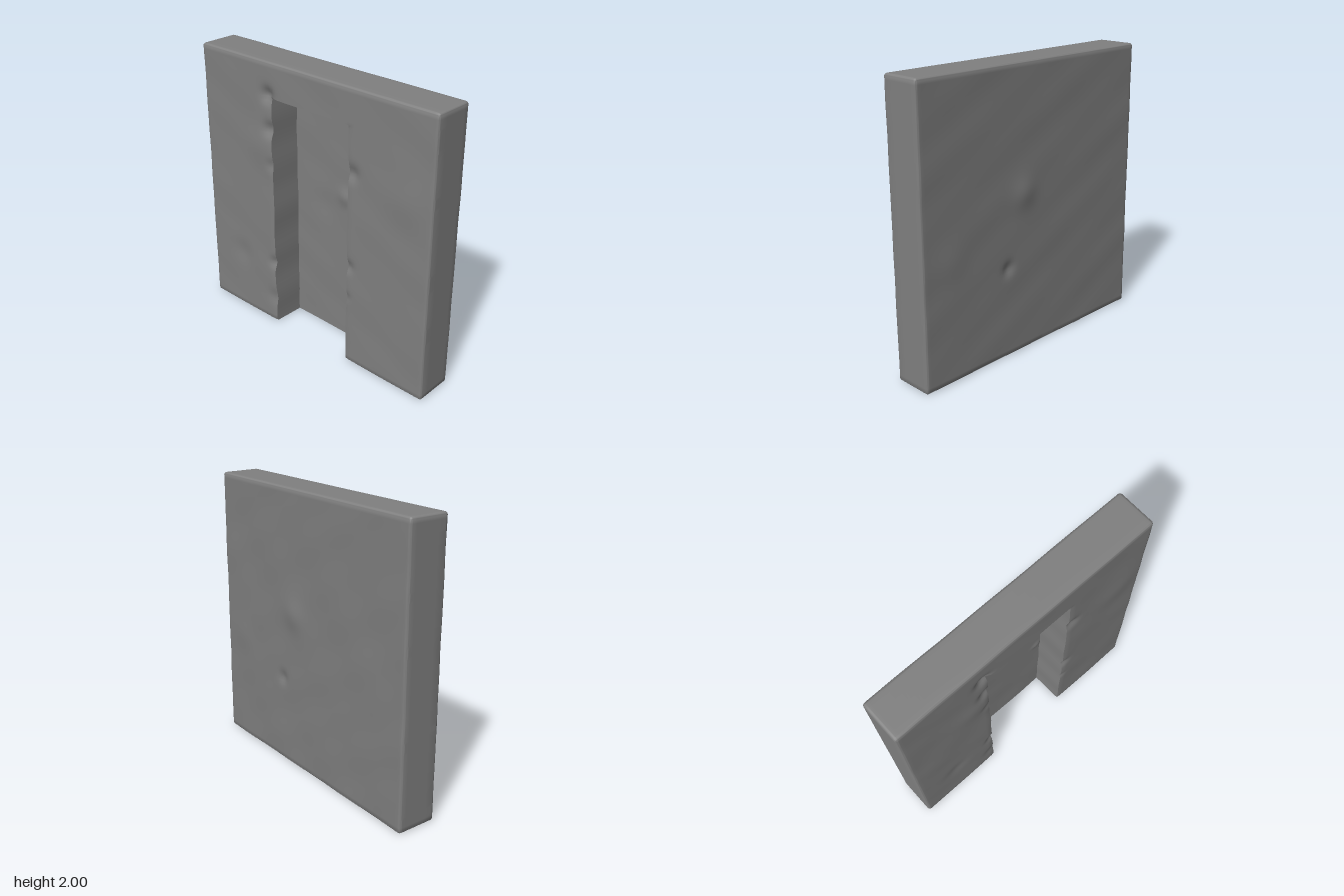
import * as THREE from 'three';
import { toCreasedNormals } from 'three/addons/utils/BufferGeometryUtils.js';

const W = 0.996, H = 2, D = 0.144, R = 0.02;   // half width, height, half depth, edge radius
const DOOR = 0.333, DOOR_TOP = 1.752, FLOOR = -0.094; // recess half width, top and floor depth

// Grid lines through the given stops: each span is [end, steps]
function gridLines(start, spans) {
  const lines = [start];
  for (const [end, steps] of spans) {
    const from = lines[lines.length - 1];
    for (let i = 1; i <= steps; i++) lines.push(from + (end - from) * i / steps);
  }
  return lines;
}

// Soft bumps (+) and dents (-): x, y, radius, height
const frontMarks = [
  [-0.37, 1.77, 0.05, -0.03], [-0.36, 1.53, 0.05, -0.025], [-0.35, 1.27, 0.04, -0.012],
  [-0.35, 0.5, 0.04, -0.02], [-0.35, 0.2, 0.06, -0.012], [0.37, 1.44, 0.05, -0.022],
  [0.35, 0.76, 0.04, -0.02], [0.34, 0.52, 0.03, -0.012], [-0.68, 0.47, 0.09, -0.01],
  [0.83, 1.38, 0.14, 0.008], [-0.43, 1.4, 0.12, 0.006],
];
const floorMarks = [[0.12, 1.1, 0.06, 0.016], [0.3, 0.78, 0.03, 0.012], [-0.05, 1.0, 0.1, -0.006]];
const backMarks = [[0.12, 1.13, 0.1, 0.014], [0.27, 0.64, 0.045, -0.016], [0.75, 0.8, 0.12, 0.006]];

const relief = (marks, x, y) => marks.reduce((sum, [mx, my, r, h]) =>
  sum + h * Math.exp(-((x - mx) ** 2 + (y - my) ** 2) / (r * r)), 0);
const ripple = (x, y, k) =>
  0.0015 * Math.sin(7 * x + 4 * y + k) * Math.sin(9 * y - 3 * x + 2 * k)
  + 0.0012 * Math.sin(15 * y + k) * Math.sin(11 * x + 5 * y);

function wallGeometry() {
  const lip = 0.006;
  const xs = gridLines(-W, [[-W + R, 4], [-DOOR - lip, 28], [-DOOR, 1], [DOOR, 28],
    [DOOR + lip, 1], [W - R, 28], [W, 4]]);
  const ys = gridLines(0, [[R, 4], [DOOR_TOP, 76], [DOOR_TOP + lip, 1], [H - R, 12], [H, 4]]);
  const zs = gridLines(-D, [[-D + R, 4], [FLOOR, 1], [D - R, 4], [D, 4]]);
  const axes = [xs, ys, zs];
  const geometry = new THREE.BoxGeometry(1, 1, 1, ...axes.map(a => a.length - 1));
  const pos = geometry.attributes.position;
  const p = new THREE.Vector3(), inner = new THREE.Vector3();
  const low = new THREE.Vector3(-W + R, R, -D + R), high = new THREE.Vector3(W - R, H - R, D - R);

  for (let i = 0; i < pos.count; i++) {
    p.fromBufferAttribute(pos, i);
    p.fromArray(p.toArray().map((v, k) => axes[k][Math.round((v + 0.5) * (axes[k].length - 1))]));
    const inDoor = Math.abs(p.x) < DOOR + lip / 2 && p.y < DOOR_TOP + lip / 2;
    const atLip = Math.abs(Math.abs(p.x) - DOOR) < lip * 1.5 && p.y < DOOR_TOP + lip / 2;

    // Rounded outer edges
    inner.copy(p).clamp(low, high);
    p.sub(inner).setLength(R).add(inner);
    const x = p.x, y = p.y;

    // Uneven faces and the sunken doorway
    if (inDoor && p.z >= FLOOR - 1e-6) {
      p.z = FLOOR + ripple(x, y, 1) + relief(floorMarks, x, y);
    } else if (p.z > D - R) {
      p.z += ripple(x, y, 0) + relief(frontMarks, x, y);
      if (atLip) p.z -= 0.004;
    } else if (p.z < -D + R) {
      p.z -= ripple(x, y, 2) + relief(backMarks, x, y);
    }

    // Slightly ragged doorway sides
    if (atLip) p.x += 0.004 * Math.sin(13 * y + Math.sign(x)) * Math.sin(5 * y);
    pos.setXYZ(i, p.x, p.y, p.z);
  }
  return toCreasedNormals(geometry, 0.7);
}

export function createModel() {
  const group = new THREE.Group();
  group.name = 'wallWithDoorway';
  const wall = new THREE.Mesh(wallGeometry(), new THREE.MeshStandardMaterial({ color: 0x808080 }));
  wall.name = 'wallSlab';
  group.add(wall);
  return group;
}
